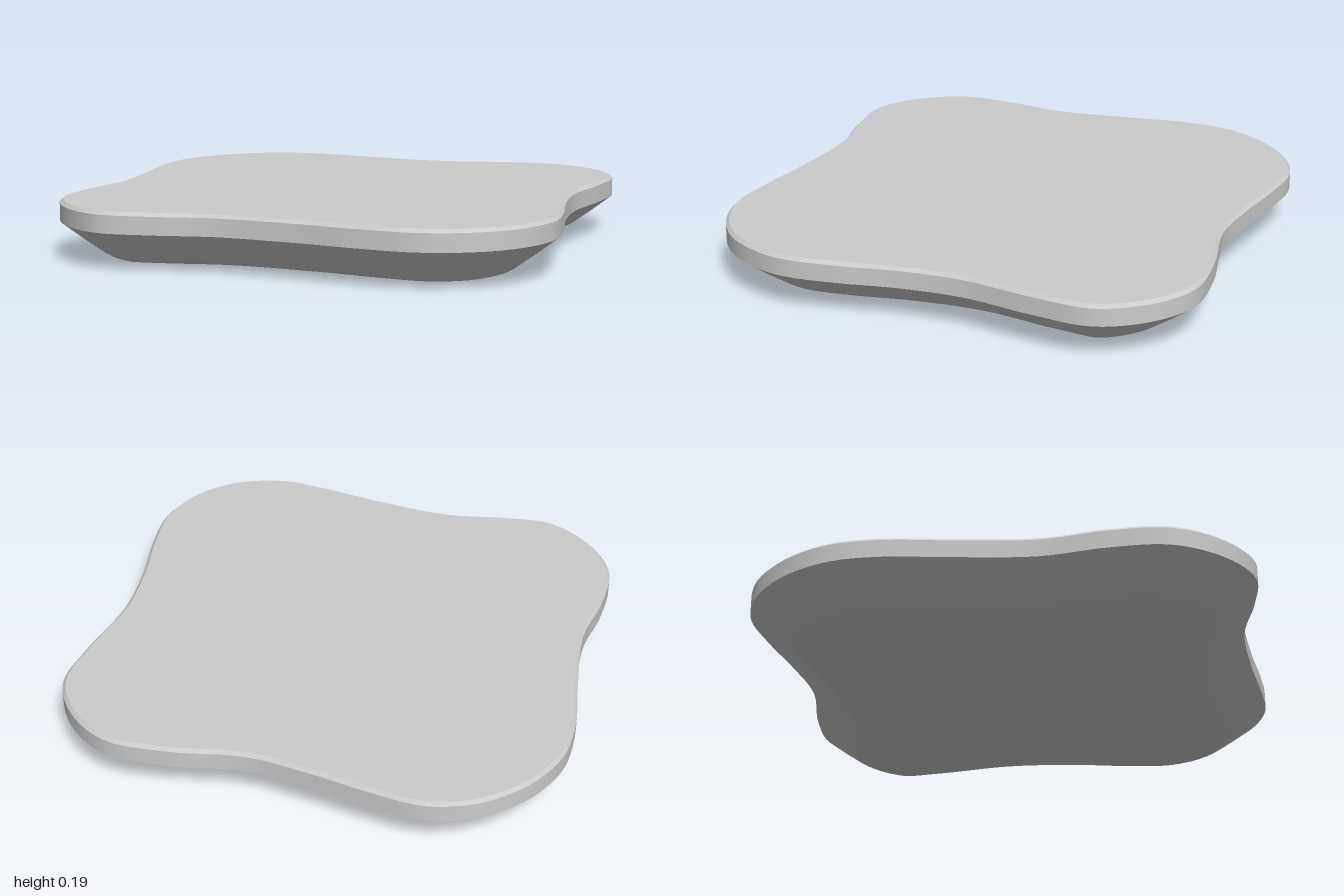
import * as THREE from 'three';

const N = 192;

// Four-lobed outline in (x, z), running from +x towards +z
const OUTLINE = [
  [1, 0], [0.96, 0.17], [0.82, 0.3], [0.62, 0.45], [0.48, 0.61], [0.37, 0.77], [0.25, 0.91], [0.12, 0.98],
  [0, 1], [-0.12, 0.98], [-0.25, 0.91], [-0.37, 0.77], [-0.48, 0.62], [-0.66, 0.41], [-0.83, 0.29], [-0.96, 0.17],
  [-1, 0], [-0.96, -0.18], [-0.83, -0.32], [-0.66, -0.45], [-0.49, -0.66], [-0.37, -0.82], [-0.25, -0.93], [-0.12, -0.985],
  [0, -1], [0.12, -0.985], [0.25, -0.92], [0.36, -0.79], [0.48, -0.62], [0.61, -0.46], [0.82, -0.31], [0.96, -0.17],
];

// Smooth skin through a list of [inset, y] sections; an inset of 1 closes at the centre
function skin(name, sections, curve, material) {
  const pos = [], index = [];
  for (const [inset, y] of sections) {
    for (let i = 0; i < N; i++) {
      const p = curve.getPoint(i / N);
      const t = curve.getTangent(i / N);
      if (inset === 1) pos.push(0, y, 0);
      else pos.push(p.x - t.z * inset, y, p.z + t.x * inset);
    }
  }
  for (let s = 0; s < sections.length - 1; s++) {
    for (let i = 0; i < N; i++) {
      const a = s * N + i, b = s * N + (i + 1) % N;
      if (sections[s][0] !== 1) index.push(a, a + N, b);
      if (sections[s + 1][0] !== 1) index.push(b, a + N, b + N);
      else if (sections[s][0] === 1) continue;
      // the closing fan needs only the first triangle
    }
  }
  const geo = new THREE.BufferGeometry();
  geo.setAttribute('position', new THREE.Float32BufferAttribute(pos, 3));
  geo.setIndex(index);
  geo.computeVertexNormals();
  const mesh = new THREE.Mesh(geo, material);
  mesh.name = name;
  return mesh;
}

export function createModel() {
  const group = new THREE.Group();
  group.name = 'lobedSlab';
  const material = new THREE.MeshStandardMaterial({ color: 0xcccccc });
  const curve = new THREE.CatmullRomCurve3(
    OUTLINE.map(([x, z]) => new THREE.Vector3(x, 0, z)), true);

  // Flat bottom rounding softly into the sloped underside
  group.add(skin('underside', [
    [1, 0], [0.2, 0], [0.175, 0.002], [0.155, 0.008], [0.135, 0.019], [0.07, 0.066], [0, 0.12],
  ], curve, material));
  // Upright rim, small top bevel and flat top, with crisp edges between them
  group.add(skin('rim', [[0, 0.12], [0, 0.178]], curve, material));
  group.add(skin('topBevel', [[0, 0.178], [0.011, 0.189]], curve, material));
  group.add(skin('topFace', [[0.011, 0.189], [1, 0.189]], curve, material));
  return group;
}
